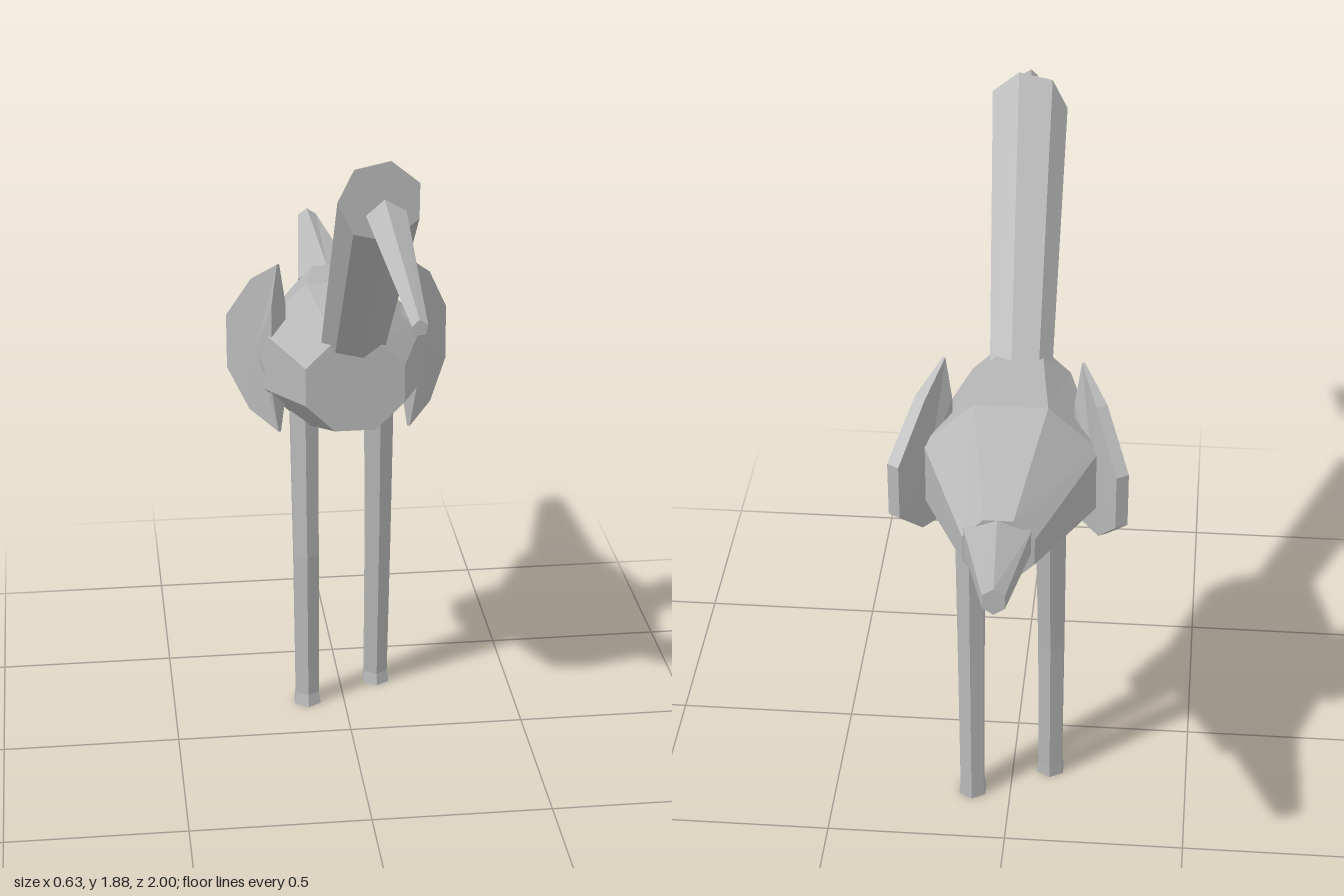
import * as THREE from 'three';

// Closed solid through a list of rings; rings run counter-clockwise seen from the last one
function loft(rings) {
  const pos = [];
  const tri = (...pts) => pts.forEach((p) => pos.push(p.x, p.y, p.z));
  const n = rings[0].length;
  const first = rings[0], last = rings[rings.length - 1];
  const middle = (ring) => ring.reduce((s, p) => s.add(p), new THREE.Vector3()).divideScalar(n);
  const c0 = middle(first), c1 = middle(last);
  for (let i = 0; i < n; i++) {
    const j = (i + 1) % n;
    for (let k = 0; k + 1 < rings.length; k++) {
      const a = rings[k], b = rings[k + 1];
      tri(a[i], a[j], b[j]);
      tri(a[i], b[j], b[i]);
    }
    tri(c0, first[j], first[i]);
    tri(c1, last[i], last[j]);
  }
  const geo = new THREE.BufferGeometry();
  geo.setAttribute('position', new THREE.Float32BufferAttribute(pos, 3));
  geo.computeVertexNormals();
  return geo;
}

// Upright polygon ring facing z
function ringZ(x, y, z, rx, ry, sides, startDeg) {
  return Array.from({ length: sides }, (_, i) => {
    const a = THREE.MathUtils.degToRad(startDeg + (i * 360) / sides);
    return new THREE.Vector3(x + rx * Math.cos(a), y + ry * Math.sin(a), z);
  });
}

// Level hexagon ring with corners towards front and back
function ringY(x, y, z, r) {
  return Array.from({ length: 6 }, (_, i) => {
    const a = Math.PI / 2 + (i * Math.PI) / 3;
    return new THREE.Vector3(x + r * Math.cos(a), y, z - r * Math.sin(a));
  });
}

export function createModel() {
  const model = new THREE.Group();
  model.name = 'longLeggedBird';
  const grey = new THREE.MeshStandardMaterial({ color: 0xb8b8b8, flatShading: true });
  grey.name = 'grey';
  const add = (name, rings) => {
    const mesh = new THREE.Mesh(loft(rings), grey);
    mesh.name = name;
    model.add(mesh);
  };

  // Eight-sided body, widest in the middle
  add('body', [
    ringZ(0, 1.11, -0.64, 0.1, 0.1, 8, 22.5),
    ringZ(0, 1.075, -0.25, 0.255, 0.232, 8, 22.5),
    ringZ(0, 1.12, 0.105, 0.146, 0.142, 8, 22.5),
  ]);

  // Six-sided tail
  add('tail', [
    ringZ(-0.02, 1.223, -1, 0.032, 0.038, 6, 30),
    ringZ(0.003, 1.135, -0.63, 0.1, 0.066, 6, 30),
  ]);

  // Seven-sided neck cut off upright at the head
  add('neck', [
    ringZ(0, 1.16, 0, 0.087, 0.083, 7, 25),
    ringZ(0.015, 1.773, 0.51, 0.108, 0.107, 7, 25),
  ]);

  // Five-sided beak, floating just ahead of the neck
  add('beak', [
    ringZ(0.02, 1.754, 0.59, 0.053, 0.051, 5, 24),
    ringZ(0.046, 1.624, 1, 0.02, 0.021, 5, 24),
  ]);

  // Legs: foot, ankle, knee, hip
  const legs = {
    leftLeg: [[0.108, 0, -0.3, 0.043], [0.108, 0.035, -0.303, 0.038], [0.11, 0.48, -0.276, 0.041], [0.11, 0.95, -0.258, 0.046]],
    rightLeg: [[-0.108, 0, -0.19, 0.043], [-0.108, 0.035, -0.195, 0.038], [-0.108, 0.48, -0.204, 0.041], [-0.107, 0.95, -0.245, 0.046]],
  };
  for (const [name, joints] of Object.entries(legs)) {
    add(name, joints.map((j) => ringY(...j)));
  }

  // Wings: half-round plates swept back; each point is reach, height, half thickness
  const outline = [
    [0, 0.88, 0.004], [0.13, 0.91, 0.014], [0.235, 1.005, 0.018], [0.235, 1.165, 0.018],
    [0.11, 1.31, 0.016], [0, 1.38, 0.004], [0, 1.26, 0.024], [0, 1.0, 0.024],
  ];
  for (const side of [1, -1]) {
    const face = (t) => outline.map(([u, y, h]) => new THREE.Vector3(
      side * (0.183 + 0.5 * u + 0.865 * h * t), y, -0.165 - 0.865 * u + 0.5 * h * t));
    const rings = [face(-1), face(1)];
    add(side > 0 ? 'leftWing' : 'rightWing', side > 0 ? rings : rings.reverse());
  }

  return model;
}
